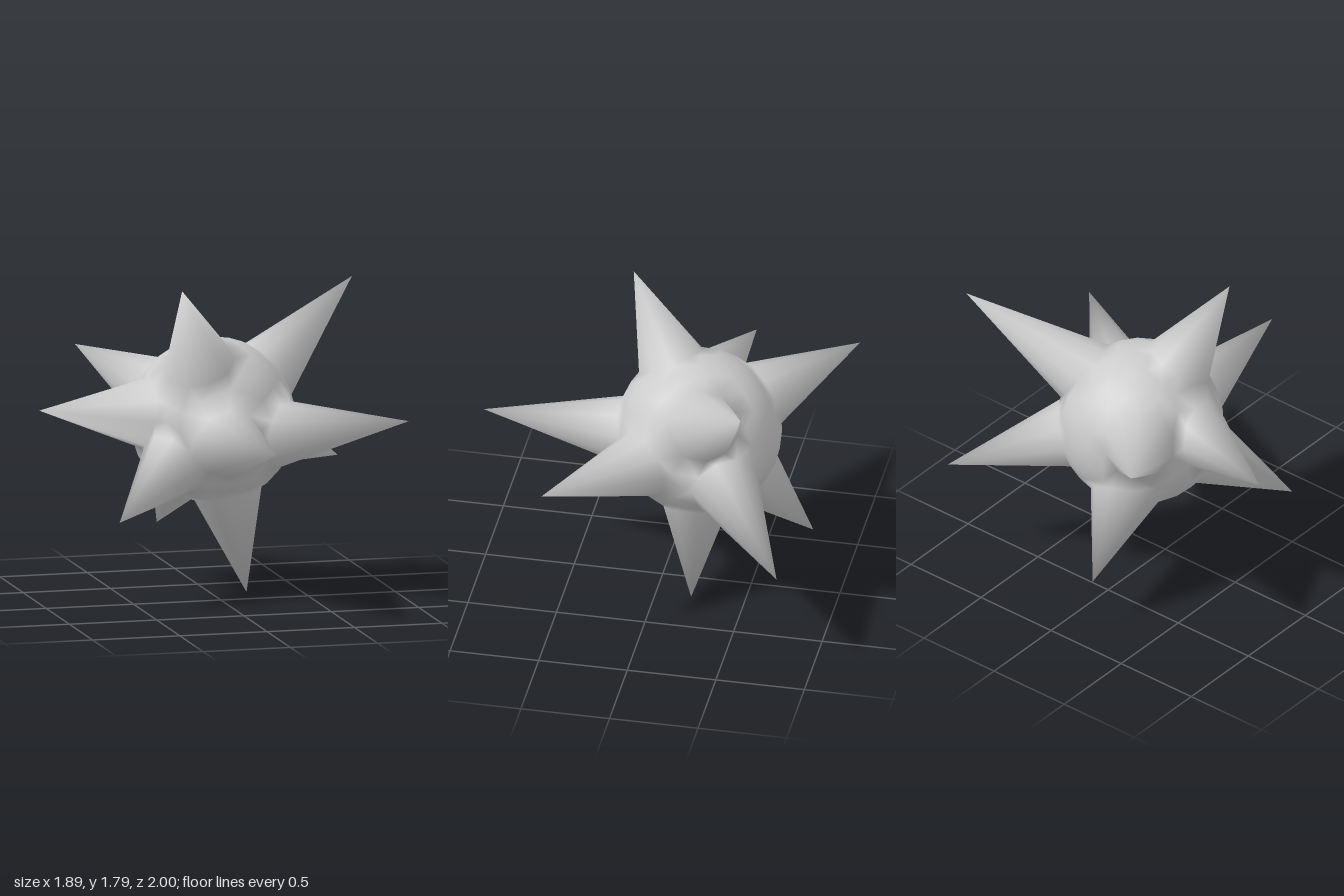
import * as THREE from 'three';
import { ConvexGeometry } from 'three/addons/geometries/ConvexGeometry.js';
import { mergeVertices } from 'three/addons/utils/BufferGeometryUtils.js';

const CENTER = new THREE.Vector3(0.01, 0.98, -0.205);
const RADIUS = 0.462;
const RING_ANGLE = THREE.MathUtils.degToRad(25);
const RING_SIDES = 10;
const STEP = 0.02;

// Each spike: tip position, and base centre where the spike leans
const SPIKES = [
  { tip: [-0.28, 1.79, 0.22] },
  { tip: [0.915, 1.67, -0.62], base: [0.36, 1.24, -0.3] },
  { tip: [-0.95, 1.05, -0.34], base: [-0.38, 1.04, -0.16] },
  { tip: [0.945, 1.05, 0.495], base: [0.34, 0.92, 0.06] },
  { tip: [-0.66, 0.52, 0.305] },
  { tip: [0.2, 0, -0.2] },
  { tip: [-0.15, 0.3, -0.82], base: [-0.11, 0.65, -0.5] },
  { tip: [0.885, 0.63, -0.82], base: [0.37, 0.86, -0.43] },
  { tip: [-0.57, 1.29, -1.0], base: [-0.27, 1.12, -0.56] },
  { tip: [0.05, 0.99, 1.0], base: [-0.01, 0.91, 0.23] },
].map(({ tip, base = tip }) => ({
  tip: new THREE.Vector3(...tip).sub(CENTER),
  root: new THREE.Vector3(...base).sub(CENTER).normalize(),
}));

// Direction at a given angle from an axis, turned around that axis
function tilted(axis, angle, turn) {
  const local = new THREE.Vector3().setFromSphericalCoords(1, angle, turn);
  const up = new THREE.Vector3(0, 1, 0);
  return local.applyQuaternion(new THREE.Quaternion().setFromUnitVectors(up, axis));
}

// Unit directions of the skin: tips, a ring round each base, and the bare body
function skinDirections() {
  const points = SPIKES.map(({ tip }) => tip.clone().normalize());
  const addApart = (p, gap) => {
    if (points.every((q) => q.distanceTo(p) > gap)) points.push(p);
  };

  // Base rings, drawn in where a neighbouring spike is closer
  for (const { root } of SPIKES) {
    for (let i = 0; i < RING_SIDES; i++) {
      const turn = (i / RING_SIDES) * Math.PI * 2;
      let angle = RING_ANGLE;
      let p = tilted(root, angle, turn);
      while (SPIKES.some((s) => s.root !== root && s.root.angleTo(p) < angle)) {
        angle -= STEP;
        p = tilted(root, angle, turn);
      }
      addApart(p, 0.08);
    }
  }

  // Body between the rings
  const ball = new THREE.IcosahedronGeometry(1, 4).getAttribute('position');
  for (let i = 0; i < ball.count; i++) {
    const p = new THREE.Vector3().fromBufferAttribute(ball, i);
    if (SPIKES.every((s) => s.root.angleTo(p) > RING_ANGLE + 0.06)) addApart(p, 0.12);
  }
  return points;
}

// One smooth skin: triangulate on the unit ball, then pull the tips out
function skinGeometry() {
  const hull = new ConvexGeometry(skinDirections());
  hull.deleteAttribute('normal');
  const skin = mergeVertices(hull);
  const position = skin.getAttribute('position');
  const p = new THREE.Vector3();
  for (let i = 0; i < position.count; i++) {
    p.fromBufferAttribute(position, i);
    const spike = SPIKES.find(({ tip }) => tip.angleTo(p) < 0.002);
    if (spike) p.copy(spike.tip);
    else p.multiplyScalar(RADIUS);
    position.setXYZ(i, p.x, p.y, p.z);
  }
  skin.computeVertexNormals();
  return skin;
}

export function createModel() {
  const model = new THREE.Group();
  model.name = 'spikedBall';

  // Round body with its ten spikes
  const body = new THREE.Mesh(skinGeometry(), new THREE.MeshStandardMaterial({ color: 0xcccccc }));
  body.name = 'spikedBody';
  body.position.copy(CENTER);
  model.add(body);
  return model;
}
